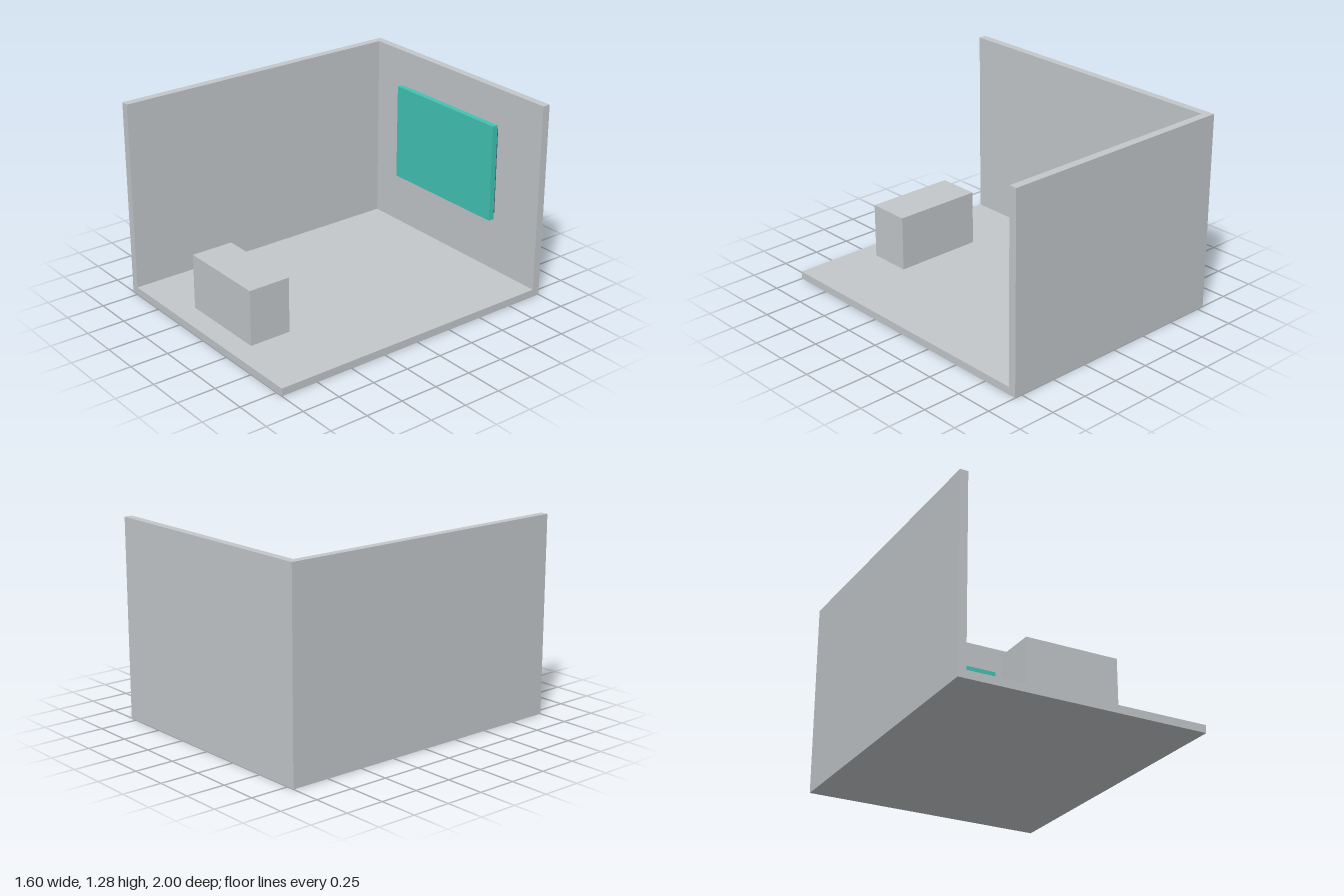
import * as THREE from 'three';

export function createModel() {
  const group = new THREE.Group();
  const paleGrey = new THREE.MeshStandardMaterial({ color: 0xc3c7c9 });
  paleGrey.name = 'paleGrey';
  const teal = new THREE.MeshStandardMaterial({ color: 0x41c3b4 });
  teal.name = 'teal';
  const slate = new THREE.MeshStandardMaterial({ color: 0x4a6078 });
  slate.name = 'slate';

  // Box spanning two opposite corners
  function block(name, material, [x0, y0, z0], [x1, y1, z1]) {
    const mesh = new THREE.Mesh(new THREE.BoxGeometry(x1 - x0, y1 - y0, z1 - z0), material);
    mesh.position.set((x0 + x1) / 2, (y0 + y1) / 2, (z0 + z1) / 2);
    mesh.name = name;
    group.add(mesh);
  }

  // Room shell: floor and two walls meeting in a corner
  block('floor', paleGrey, [-0.8, 0, -1], [0.8, 0.05, 1]);
  block('backWall', paleGrey, [-0.8, 0.05, -1], [0.8, 1.28, -0.948]);
  block('sideWall', paleGrey, [-0.8, 0.05, -0.948], [-0.748, 1.28, 1]);

  // Bench standing on the floor
  block('bench', paleGrey, [-0.3, 0.05, 0.58], [0.3, 0.412, 0.86]);

  // Wall screen with its smaller backing panel
  block('screenBacking', slate, [-0.438, 0.455, -0.933], [0.438, 1.028, -0.91]);
  block('screen', teal, [-0.456, 0.424, -0.91], [0.456, 1.062, -0.871]);

  return group;
}
